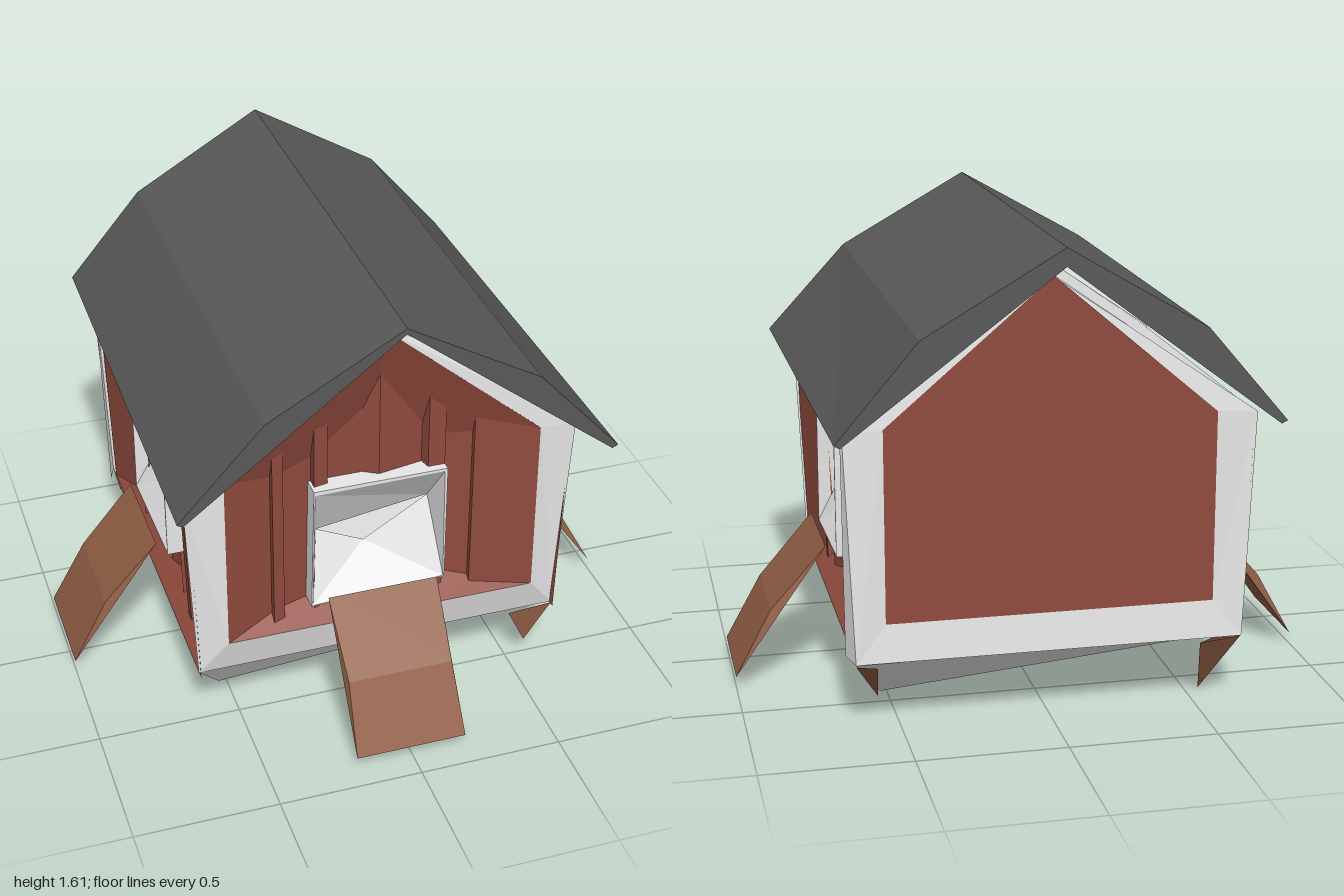
import * as THREE from 'three';

const mat = (name, color) => new THREE.MeshStandardMaterial({ name, color, side: THREE.DoubleSide });

// Faceted mesh from a list of polygons, each split as a fan
function facets(name, polygons, material) {
  const pos = [];
  for (const p of polygons)
    for (let i = 1; i < p.length - 1; i++) pos.push(...p[0], ...p[i], ...p[i + 1]);
  const g = new THREE.BufferGeometry();
  g.setAttribute('position', new THREE.Float32BufferAttribute(pos, 3));
  g.computeVertexNormals();
  const mesh = new THREE.Mesh(g, material);
  mesh.name = name;
  return mesh;
}

// Pleated plank wall facing +z: stations are [u, depth], with a gap for the door
function plankWall(stations, bottom, topAt, door, drop, lean, material) {
  const polys = [];
  const at = (u, y, d) => [u, y, -d - Math.max(0, 1 - y) * lean];
  const top = (u, d) => topAt(u) - d * drop, low = d => bottom + d * 0.8;
  for (let i = 0; i < stations.length - 1; i++) {
    const [a, da] = stations[i], [b, db] = stations[i + 1];
    const strip = (y0a, y0b, y1a, y1b) =>
      polys.push([at(a, y0a, da), at(b, y0b, db), at(b, y1b, db), at(a, y1a, da)]);
    const mid = (a + b) / 2;
    if (mid > door - 0.22 && mid < door + 0.22) {
      strip(low(da), low(db), 0.47, 0.47);
      strip(0.89, 0.89, top(a, da), top(b, db));
    } else strip(low(da), low(db), top(a, da), top(b, db));
    // sloping ledges at the foot and the head
    polys.push([at(a, bottom, 0), at(b, bottom, 0), at(b, low(db), db), at(a, low(da), da)]);
    polys.push([at(a, top(a, da), da), at(b, top(b, db), db), at(b, topAt(b), 0), at(a, topAt(a), 0)]);
  }
  return facets('plankWall', polys, material);
}

// Door surround: a box whose inside narrows to a small skewed opening
function doorway(c, material) {
  const P = (x, y, z) => [c + x, y, z];
  const rim = -0.02;
  const outer = [[-0.24, 0.91], [0.23, 0.91], [0.23, 0.46], [-0.25, 0.44]];
  const inner = [[-0.235, 0.895], [0.22, 0.9], [0.225, 0.465], [-0.245, 0.445]];
  const polys = [];
  outer.forEach((p, i) => {
    const j = (i + 1) % 4, q = outer[j];
    polys.push([P(...p, -0.12), P(...q, -0.12), P(...q, rim), P(...p, rim)]);
    polys.push([P(...p, rim), P(...q, rim), P(...inner[j], rim), P(...inner[i], rim)]);
  });
  const [tl, tr, br, bl] = inner.map(p => P(...p, rim));
  const l = P(-0.2, 0.68, -0.13), r = P(0.2, 0.74, -0.13), m = P(-0.03, 0.6, -0.13);
  polys.push([tl, tr, r], [tl, r, l], [tr, br, r], [br, m, r], [bl, br, m], [bl, m, l], [tl, bl, l]);
  return facets('doorway', polys, material);
}

// Thin bent ramp leaning out from the wall
function ramp(c, material) {
  const row = (w, y, z) => [[c - w, y, z], [c + w, y, z]];
  const rows = [row(0.195, 0.49, 0.012), row(0.185, 0.27, 0.205), row(0.195, 0.04, 0.33), row(0.175, 0.25, 0.18)];
  const polys = rows.map((a, i) => {
    const b = rows[(i + 1) % 4];
    return [a[0], a[1], b[1], b[0]];
  });
  polys.push(rows.map(r => r[0]), rows.map(r => r[1]));
  return facets('ramp', polys, material);
}

export function createModel() {
  const red = mat('barn red', 0x914b3e);
  const trim = mat('pale grey trim', 0xebebeb);
  const wood = mat('ramp brown', 0x925f45);
  const slate = mat('roof grey', 0x595959);
  const model = new THREE.Group();
  model.name = 'coop';

  // Front wall, doorway and ramp
  const front = new THREE.Group();
  front.name = 'frontSide';
  front.position.z = 0.58;
  const gable = u => 1.49 - Math.abs(u) * 0.855;
  front.add(
    plankWall([[-0.55, 0], [-0.38, 0.06], [-0.38, 0.03], [-0.34, 0.04], [-0.34, 0.07], [-0.23, 0.09],
      [-0.23, 0.05], [-0.18, 0.06], [-0.18, 0.09], [-0.05, 0.09], [0, 0.06], [0.16, 0.09], [0.17, 0.05],
      [0.23, 0.05], [0.23, 0.09], [0.33, 0.06], [0.33, 0.04], [0.55, 0]], 0.37, gable, 0, 3.2, 0, red),
    doorway(0, trim), ramp(-0.005, wood));
  model.add(front);

  // Long side walls with their doorways and ramps
  for (const s of [1, -1]) {
    const side = new THREE.Group();
    side.name = s > 0 ? 'leftSide' : 'rightSide';
    side.position.x = s * 0.67;
    side.rotation.y = s * Math.PI / 2;
    const c = s * 0.085;
    let st = [[-0.565, 0], [-0.29, 0.07], [-0.29, 0.04], [-0.25, 0.04], [-0.25, 0.07], [-0.14, 0.09],
      [-0.14, 0.05], [-0.02, 0.08], [0.06, 0.06], [0.18, 0.08], [0.3, 0.05], [0.31, 0.09], [0.38, 0.07],
      [0.39, 0.04], [0.46, 0.06], [0.47, 0.08], [0.56, 0.05], [0.73, 0]];
    if (s < 0) st = st.map(([u, d]) => [-u, d]).reverse();
    side.add(plankWall(st, 0.235, () => 1.01, c, 0.7, 0.03, red), doorway(c, trim), ramp(c, wood));
    model.add(side);
  }

  // Gable trim frames, front and back
  const outer = [[0.65, 0.24], [0.68, 1.01], [0.02, 1.5], [-0.69, 1.01], [-0.65, 0.24]];
  const inner = [[0.55, 0.37], [0.55, 1.02], [0, 1.49], [-0.55, 1.02], [-0.55, 0.37]];
  for (const [name, zi, zTop, zLow] of [['frontFrame', 0.58, 0.575, 0.545], ['backFrame', -0.75, -0.74, -0.76]]) {
    const o = outer.map(([x, y]) => [x, y, y < 0.5 ? zLow : zTop]);
    const n = inner.map(([x, y]) => [x, y, zi]);
    model.add(facets(name, o.map((p, i) => {
      const j = (i + 1) % 5;
      return [p, o[j], n[j], n[i]];
    }), trim));
    if (zi < 0) {
      model.add(facets('backWall', [n], red));
      // corner returns joining the back frame to the side walls
      for (const s of [1, -1])
        model.add(facets('cornerTrim', [[[s * 0.68, 1.01, -0.74], [s * 0.65, 0.24, -0.76],
          [s * 0.675, 0.25, -0.69], [s * 0.685, 1.01, -0.73]]], trim));
    }
  }

  // Ceiling below the roof
  model.add(facets('ceiling', [1, -1].map(s =>
    [[0, 1.49, 0.57], [s * 0.68, 1.01, 0.57], [s * 0.68, 1.01, -0.74], [0, 1.49, -0.74]]), trim));

  // Tapered base, its underside folded along a diagonal
  const t = [[-0.65, 0.24, 0.545], [0.65, 0.24, 0.545], [0.65, 0.24, -0.76], [-0.65, 0.24, -0.76]];
  const b = [[-0.55, 0.08, 0.42], [0.56, 0.21, 0.48], [0.55, 0.08, -0.6], [-0.56, 0.21, -0.66]];
  const baseFaces = t.map((p, i) => [p, t[(i + 1) % 4], b[(i + 1) % 4], b[i]]);
  baseFaces.push([b[0], b[1], b[3]], [b[1], b[2], b[3]]);
  model.add(facets('base', baseFaces, trim));

  // Pointed corner feet: a full spike at one back corner, flat splints at two others
  const spike = [[-0.65, 0.235, -0.75], [-0.51, 0.22, -0.75], [-0.65, 0.22, -0.65]], tip = [-0.55, 0, -0.61];
  model.add(facets('foot', spike.map((p, i) => [p, spike[(i + 1) % 3], tip]), wood));
  model.add(facets('foot', [[[0.65, 0.235, 0.545], [0.49, 0.22, 0.54], [0.56, 0.075, 0.525]]], wood));
  model.add(facets('foot', [[[0.65, 0.235, -0.762], [0.58, 0.225, -0.762], [0.56, 0.07, -0.62]]], wood));

  // Bent gable roof, slightly wider at the front
  const section = (z, w, ridge, under) => [[0, under], [-w + 0.02, 1.015], [-w, 1.025], [-0.46, 1.34],
    [0, ridge], [0.46, 1.34], [w, 1.025], [w - 0.02, 1.015]].map(([x, y]) => [x, y, z]);
  const f = section(0.76, 0.75, 1.6, 1.58), k = section(-0.92, 0.728, 1.61, 1.55);
  model.add(facets('roof', [f, k, ...f.map((p, i) => {
    const j = (i + 1) % 8;
    return [p, f[j], k[j], k[i]];
  })], slate));

  return model;
}
